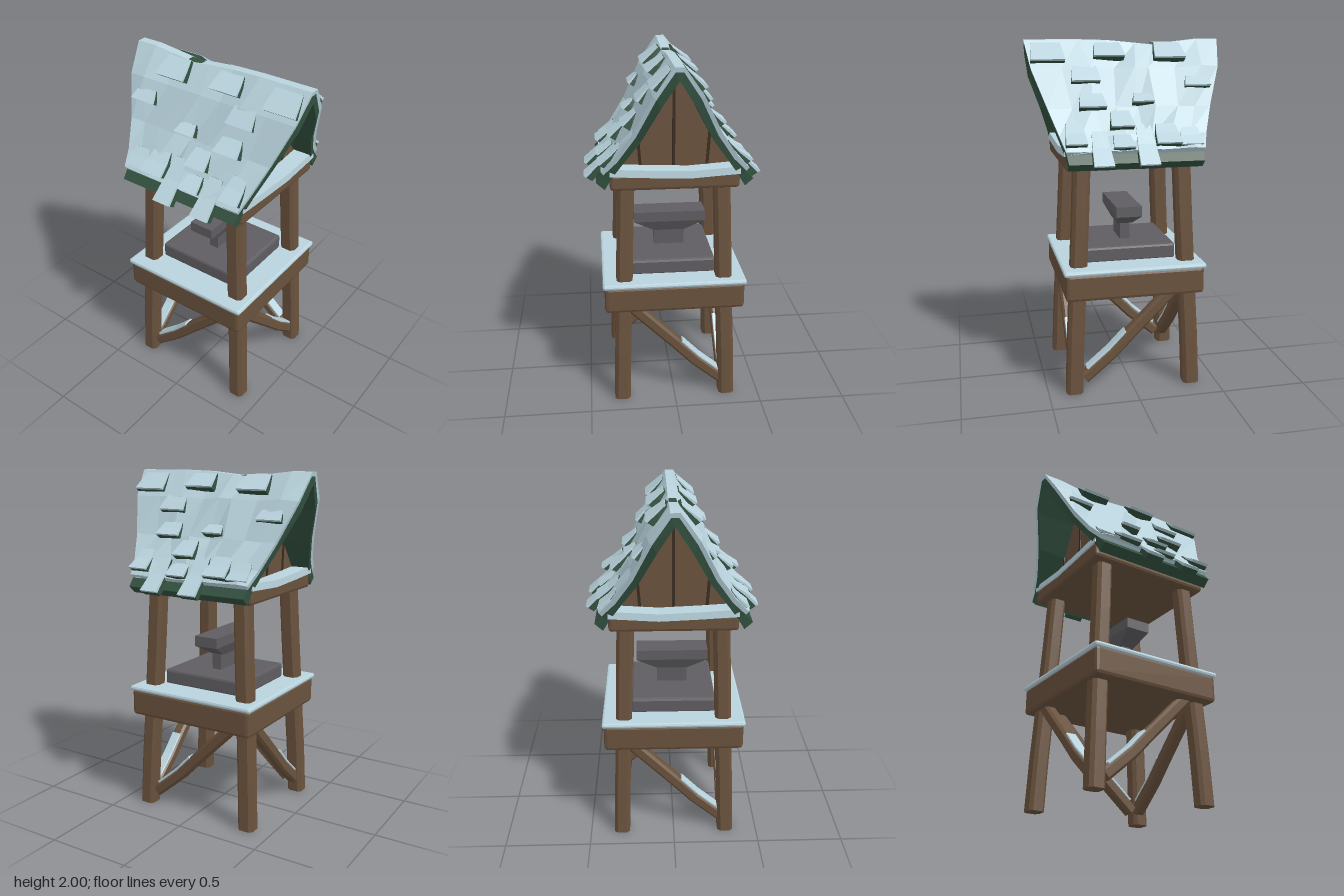
import * as THREE from 'three';
import { RoundedBoxGeometry } from 'three/addons/geometries/RoundedBoxGeometry.js';

const V = (x, y, z) => new THREE.Vector3(x, y, z);
const paint = (name, color) => Object.assign(new THREE.MeshStandardMaterial({ color, flatShading: true }), { name });

// Skin a list of equal rings (counterclockwise seen from the last one) and cap both ends
function loft(rings) {
  const out = [], n = rings[0].length;
  const tri = (...ps) => ps.forEach(p => out.push(p.x, p.y, p.z));
  for (let i = 0; i + 1 < rings.length; i++) {
    const a = rings[i], b = rings[i + 1];
    for (let j = 0; j < n; j++) {
      const k = (j + 1) % n;
      tri(a[j], a[k], b[k]);
      tri(a[j], b[k], b[j]);
    }
  }
  const first = rings[0], last = rings[rings.length - 1];
  for (let j = 1; j + 1 < n; j++) {
    tri(first[0], first[j + 1], first[j]);
    tri(last[0], last[j], last[j + 1]);
  }
  const g = new THREE.BufferGeometry();
  g.setAttribute('position', new THREE.Float32BufferAttribute(out, 3));
  g.computeVertexNormals();
  return g;
}

// Chamfered timber along a path; lift shifts it along its upper side
function timber(path, side, w, h, lift = 0, dir = null) {
  const a = w / 2, b = h / 2, c = Math.min(w, h) * 0.2;
  const outline = [[a, -b + c], [a, b - c], [a - c, b], [-a + c, b], [-a, b - c], [-a, -b + c], [-a + c, -b], [a - c, -b]];
  return loft(path.map((p, i) => {
    const d = dir || path[Math.min(i + 1, path.length - 1)].clone().sub(path[Math.max(i - 1, 0)]).normalize();
    const up = d.clone().cross(side);
    return outline.map(([u, v]) => p.clone().addScaledVector(side, u).addScaledVector(up, v + lift));
  }));
}

export function createModel() {
  const model = new THREE.Group();
  const wood = paint('wood', 0x6a523d), darkWood = paint('dark wood', 0x3a2c20);
  const snow = paint('snow', 0xb9d3dd), green = paint('green roof', 0x32503f), iron = paint('iron', 0x5f5d61);
  const add = (name, geo, mat, x = 0, y = 0, z = 0) => {
    const m = new THREE.Mesh(geo, mat);
    m.name = name;
    m.position.set(x, y, z);
    model.add(m);
    return m;
  };
  const slab = (name, mat, w, y0, y1, d, r, z = 0) =>
    add(name, new RoundedBoxGeometry(w, y1 - y0, d, 1, r), mat, 0, (y0 + y1) / 2, z);

  // Four leaning corner posts
  for (const sx of [-1, 1]) for (const sz of [-1, 1]) {
    const path = [[0.312, 0, 0.35], [0.303, 0.3, 0.338], [0.29, 0.6, 0.322], [0.277, 1, 0.3], [0.265, 1.33, 0.285]]
      .map(([x, y, z]) => V(sx * x, y, sz * z));
    add('post', timber(path, V(1, 0, 0), 0.092, 0.095, 0, V(0, 1, 0)), wood);
  }

  // One sagging brace per side, with snow lying on its lower half
  const bracePath = [[0.29, 0.08], [0.12, 0.225], [0, 0.35], [-0.26, 0.61]];
  const snowPath = [[0.25, 0.114], [0.12, 0.225], [0.02, 0.329]];
  for (const s of [-1, 1]) for (const front of [true, false]) {
    const place = ([t, y]) => front ? V(s * t, y, s * 0.335) : V(s * 0.3, y, s * t);
    const side = front ? V(0, 0, s) : V(-s, 0, 0);
    add('brace', timber(bracePath.map(place), side, 0.07, 0.068), wood);
    add('braceSnow', timber(snowPath.map(place), side, 0.06, 0.014, 0.036), snow);
  }

  // Platform, anvil base and upper floor
  slab('platform', wood, 0.8, 0.58, 0.74, 0.8, 0.02);
  slab('platformSnow', snow, 0.82, 0.73, 0.76, 0.82, 0.013);
  slab('anvilBase', iron, 0.49, 0.75, 0.845, 0.53, 0.015);
  slab('upperFloor', wood, 0.705, 1.31, 1.405, 0.765, 0.018);

  // Anvil
  const rect = (x, y, z) => [V(x, y, z), V(x, y, -z), V(-x, y, -z), V(-x, y, z)];
  add('anvilWaist', loft([rect(0.09, 0.84, 0.03), rect(0.09, 0.96, 0.03)]), iron);
  add('anvilHead', loft([rect(0.09, 0.94, 0.045), rect(0.21, 1.005, 0.075), rect(0.21, 1.065, 0.075)]), iron);

  // Gable walls with dark plank seams, and drifted snow on the beams below
  const gable = new THREE.Shape([[-0.34, 1.39], [0.34, 1.39], [0.295, 1.465], [0.195, 1.61], [0.095, 1.8], [0, 1.95],
    [-0.095, 1.8], [-0.195, 1.61], [-0.295, 1.465]].map(([x, y]) => new THREE.Vector2(x, y)));
  const wall = new THREE.ExtrudeGeometry(gable, { depth: 0.56, bevelEnabled: false });
  wall.translate(0, 0, -0.28);
  add('gableWall', wall, wood);
  for (const s of [-1, 1]) {
    for (const [x, h, lean] of [[-0.19, 0.2, 0.07], [0, 0.5, 0], [0.19, 0.2, -0.07]]) {
      const seam = add('plankSeam', new THREE.BoxGeometry(0.016, h, 0.006), darkWood, x, 1.42 + h / 2, s * 0.282);
      seam.rotation.z = lean;
    }
    const drift = [[-0.352, 1.437], [-0.15, 1.425], [0.08, 1.415], [0.352, 1.433]].map(([x, y]) => {
      const low = y - 0.04;
      return [V(x, y, s * 0.335 + 0.052), V(x, low, s * 0.335 + 0.056), V(x, low, s * 0.335 - 0.056), V(x, y, s * 0.335 - 0.052)];
    });
    add('beamSnow', loft(drift), snow);
  }

  // Roof profiles from ridge to eave: x, y, half depth
  const top = [[0.025, 2, 0.56], [0.13, 1.85, 0.535], [0.235, 1.64, 0.46], [0.33, 1.5, 0.41], [0.4, 1.425, 0.385]];
  const mid = [[0.02, 1.975, 0.555], [0.113, 1.835, 0.53], [0.215, 1.625, 0.455], [0.31, 1.483, 0.405], [0.385, 1.405, 0.38]];
  const eave = [0.425, 1.36, 0.375];
  const under = [[0.005, 1.925, 0.555], [0.09, 1.79, 0.53], [0.19, 1.6, 0.455], [0.29, 1.46, 0.405], [0.345, 1.38, 0.38], [0.38, 1.32, 0.375]];
  const across = list => [...list.map((p, i) => [-1, p, i]).reverse(), ...list.map((p, i) => [1, p, i])];

  // Green roof shell
  add('roofShell', loft(across([...mid, eave]).map(([s, [x, y, d], i]) => {
    const [ux, uy, ud] = under[i];
    return [V(s * x, y, d), V(s * ux, uy, ud), V(s * ux, uy, -ud), V(s * x, y, -d)];
  })), green);

  // Uneven snow blanket with a dip in the ridge
  const steps = [1, 0.7, 0.42, 0.15, -0.1, -0.27, -0.55, -0.8, -1];
  add('roofSnow', loft(across(top).map(([s, [x, y, d], i]) => {
    const [mx, my, md] = mid[i];
    const outer = steps.map((t, k) => {
      const edge = Math.abs(t) === 1;
      const bump = edge || i === 0 ? 0 : 0.013 * Math.sin(i * 4.1 + k * 2.3);
      const dip = i === 0 ? 0.03 * Math.max(0, 1 - Math.abs(t + 0.27) / 0.5) : 0;
      return V(s * (x + bump), y + bump * 0.6 - dip, t * d + (edge ? 0 : 0.02 * Math.sin(i * 2.7 + k)));
    });
    return [V(s * mx, my, md), V(s * mx, my, -md), ...outer.reverse()];
  })), snow);

  // Raised shingles: front z, back z, upper y, lower y, lift at the lower end
  const slope = y => {
    const line = [...top, [0.49, 1.335, 0.37]];
    let i = 0;
    while (i < line.length - 2 && line[i + 1][1] > y) i++;
    const [x0, y0] = line[i], [x1, y1] = line[i + 1];
    return x0 + (x1 - x0) * (y0 - y) / (y0 - y1);
  };
  const shingles = [
    [0.535, 0.345, 1.98, 1.875, 0.04], [0.185, 0.01, 1.98, 1.89, 0.05], [0.32, 0.16, 1.86, 1.765, 0.04],
    [-0.16, -0.34, 1.98, 1.88, 0.05], [-0.32, -0.47, 1.8, 1.735, 0.035], [0.29, 0.14, 1.71, 1.625, 0.05],
    [-0.01, -0.13, 1.71, 1.65, 0.045], [0.13, 0, 1.62, 1.525, 0.05], [0.385, 0.27, 1.56, 1.445, 0.045],
    [0.13, 0.01, 1.5, 1.43, 0.035], [-0.11, -0.25, 1.55, 1.44, 0.045], [-0.25, -0.375, 1.53, 1.44, 0.02],
    [0.25, 0.14, 1.52, 1.35, 0.02], [0, -0.11, 1.55, 1.35, 0.02]];
  for (const [za, zb, yTop, yLow, lift] of shingles) for (const s of [-1, 1]) {
    const layer = (lo, hi) => {
      const rings = [[yTop, 0.12, 0.015], [(yTop + yLow) / 2, 0.55, 0.006], [yLow, 1, 0]].map(([y, k, inset]) => {
        const at = (h, z) => V(s * (slope(y) + 0.83 * h), y + 0.55 * h, z);
        const a = za - inset, b = zb + inset, l = lo < 0 ? lo : lo * k;
        return [at(hi * k, a), at(l, a), at(l, b), at(hi * k, b)];
      });
      return loft(s > 0 ? rings : rings.reverse());
    };
    add('shingle', layer(-0.035, lift - 0.018), green);
    add('shingleSnow', layer(lift - 0.018, lift), snow);
  }
  return model;
}
